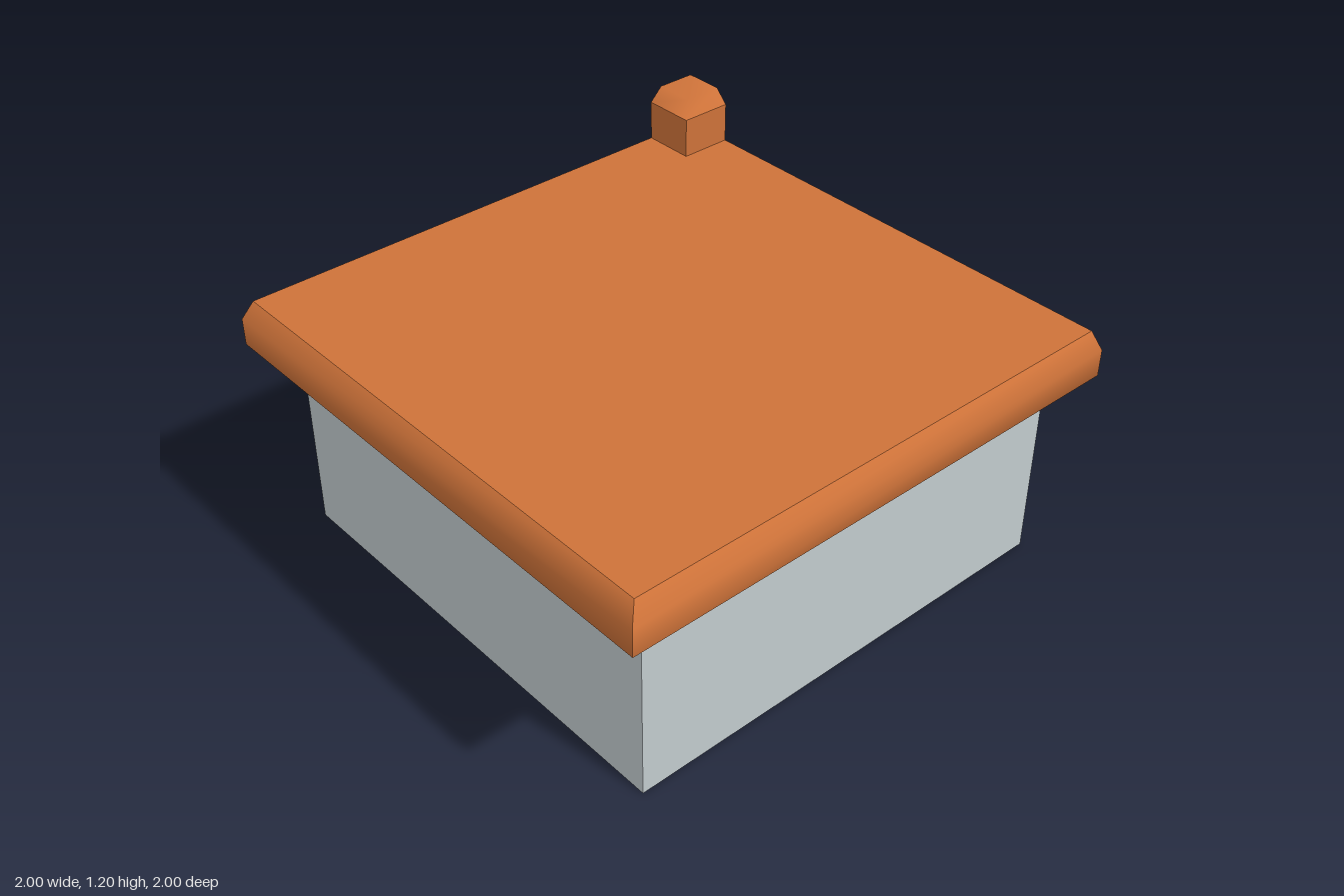
import * as THREE from 'three';

const BACK = -1, SIDE = 1;

// Faces of one group share vertices, so their normals blend; separate groups stay sharp.
function buildGeometry(groups, centre) {
  const positions = [], normals = [];
  for (const faces of groups) {
    const points = [], index = [], lookup = new Map();
    const id = (p) => {
      const key = p.map((v) => v.toFixed(4)).join();
      if (!lookup.has(key)) { lookup.set(key, points.length / 3); points.push(...p); }
      return lookup.get(key);
    };
    for (const face of faces) {
      const [a, b, c] = face.map((p) => new THREE.Vector3(...p));
      const n = b.clone().sub(a).cross(c.clone().sub(a));
      const f = n.dot(a.clone().sub(centre)) < 0 ? [...face].reverse() : face;
      for (let i = 1; i < f.length - 1; i++) index.push(id(f[0]), id(f[i]), id(f[i + 1]));
    }
    let g = new THREE.BufferGeometry();
    g.setAttribute('position', new THREE.Float32BufferAttribute(points, 3));
    g.setIndex(index);
    g.computeVertexNormals();
    g = g.toNonIndexed();
    positions.push(...g.attributes.position.array);
    normals.push(...g.attributes.normal.array);
  }
  const geometry = new THREE.BufferGeometry();
  geometry.setAttribute('position', new THREE.Float32BufferAttribute(positions, 3));
  geometry.setAttribute('normal', new THREE.Float32BufferAttribute(normals, 3));
  return geometry;
}

// Block flush with the back and the +x side; levels are [height, inset of front and -x edges].
function blockFaces(left, front, levels) {
  const rings = levels.map(([y, i]) => [
    [left + i, y, front - i], [SIDE, y, front - i], [SIDE, y, BACK], [left + i, y, BACK],
  ]);
  const strip = (a, b) => rings.slice(1).map((r, k) => [rings[k][a], rings[k][b], r[b], r[a]]);
  return {
    front: strip(0, 1), right: strip(1, 2), back: strip(2, 3), left: strip(3, 0),
    bottom: [rings[0]], top: [rings[rings.length - 1]],
  };
}

export function createModel() {
  const model = new THREE.Group();
  const clay = new THREE.MeshStandardMaterial({ color: 0xcd7239 });
  clay.name = 'orange roof';
  const stone = new THREE.MeshStandardMaterial({ color: 0xc1cacd });
  stone.name = 'light grey wall';

  const add = (name, geometry, material) => {
    const mesh = new THREE.Mesh(geometry, material);
    mesh.name = name;
    model.add(mesh);
    return mesh;
  };

  // Wall block
  add('wall', new THREE.BoxGeometry(1.8, 0.8, 1.8), stone).position.set(0.1, 0.4, -0.1);

  // Overhanging roof slab with softly shaded bevelled front and side
  const s = blockFaces(-1, 1, [[0.8, 0.05], [0.85, 0], [0.95, 0], [1, 0.05]]);
  add('roofSlab', buildGeometry(
    [s.front, s.left, s.right, s.back, s.top, s.bottom], new THREE.Vector3(0, 0.9, 0)), clay);

  // Corner post with a softly shaded bevelled cap
  const p = blockFaces(0.8, -0.8, [[1, 0], [1.15, 0], [1.2, 0.05]]);
  add('cornerPost', buildGeometry(
    [[p.front[0]], [p.left[0]], p.right, p.back, [p.front[1], p.left[1], ...p.top]],
    new THREE.Vector3(0.9, 1.1, -0.9)), clay);

  return model;
}
